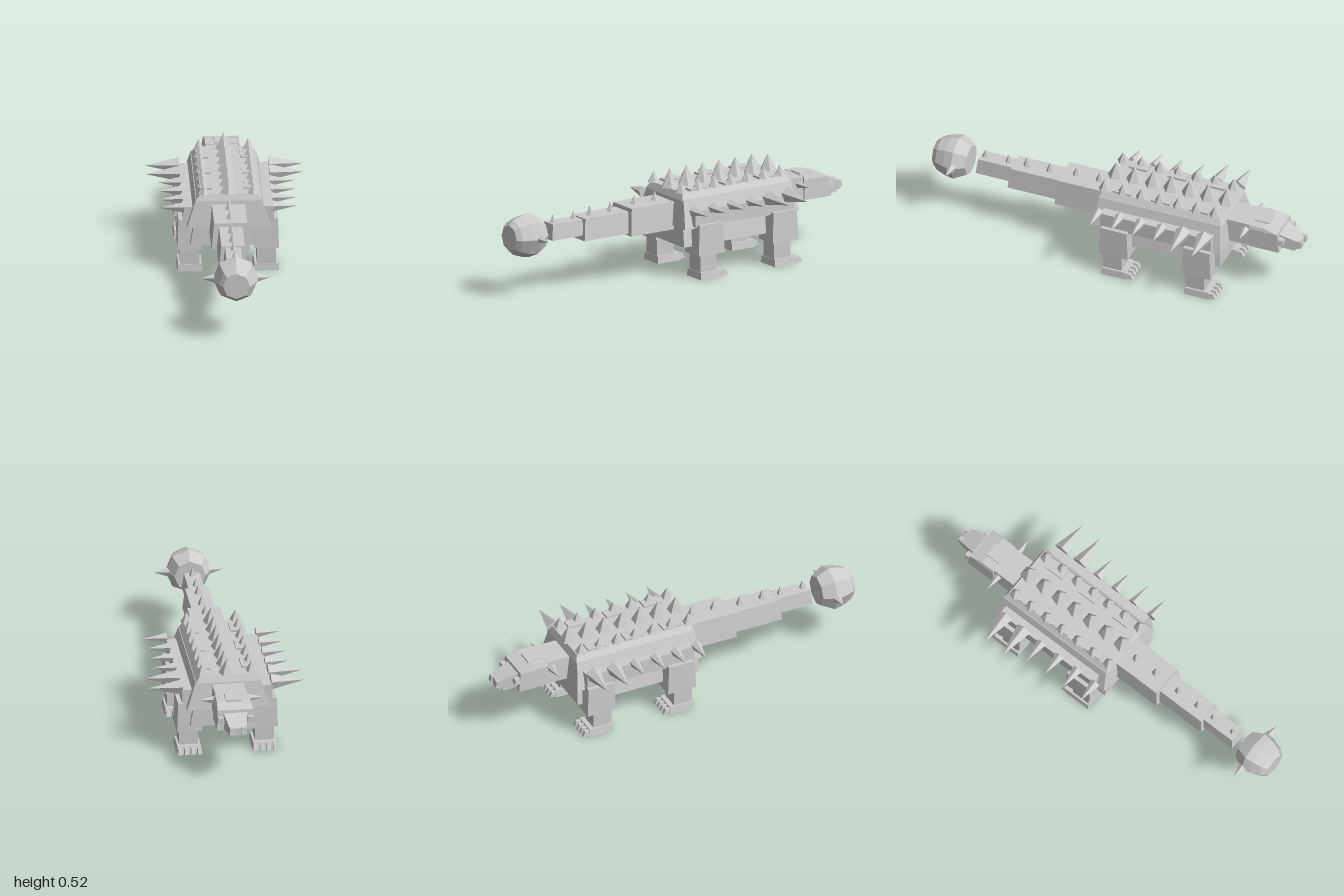
import * as THREE from 'three';

export function createModel() {
  const model = new THREE.Group();
  const hide = new THREE.MeshStandardMaterial({ color: 0xcccccc });
  hide.name = 'stone grey';

  function add(name, geometry) {
    const g = geometry.index ? geometry.toNonIndexed() : geometry;
    g.computeVertexNormals();
    const mesh = new THREE.Mesh(g, hide);
    mesh.name = name;
    model.add(mesh);
    return mesh;
  }

  // Tapered block: x, y and z ranges at the base, with the top drawn in by ix, iz0 and iz1
  function block(name, [x0, x1], [y0, y1], [z0, z1], ix = 0, iz0 = 0, iz1 = iz0) {
    const g = new THREE.BoxGeometry(1, 1, 1);
    const p = g.attributes.position;
    for (let i = 0; i < p.count; i++) {
      const top = p.getY(i) > 0 ? 1 : 0;
      const x = p.getX(i) > 0 ? x1 - top * ix : x0 + top * ix;
      const z = p.getZ(i) > 0 ? z1 - top * iz1 : z0 + top * iz0;
      p.setXYZ(i, x, top ? y1 : y0, z);
    }
    return add(name, g);
  }
  const mirrored = (name, [x0, x1], ...rest) => {
    block(name, [x0, x1], ...rest);
    block(name, [-x1, -x0], ...rest);
  };

  // Five-sided spikes, pointing up or out to both sides
  function spikeUp(name, x, y, z, r, h) {
    add(name, new THREE.ConeGeometry(r, h, 5).translate(x, y + h / 2, z));
  }
  function spikesOut(name, x, y, z, r, h) {
    for (const s of [1, -1]) {
      add(name, new THREE.ConeGeometry(r, h, 5)
        .rotateY(-s * Math.PI / 2).rotateZ(-s * Math.PI / 2)
        .translate(s * (x + h / 2), y, z));
    }
  }

  // Body: belly, sloping shell and back plate
  block('belly', [-0.193, 0.193], [0.165, 0.27], [-0.615, 0.065], 0.018, 0.005);
  block('shell', [-0.21, 0.21], [0.26, 0.405], [-0.625, 0.07], 0.045, 0.02);
  block('backPlate', [-0.165, 0.165], [0.4, 0.435], [-0.61, 0.055], 0.024, 0.015);
  mirrored('flankBoard', [0.15, 0.23], [0.27, 0.355], [-0.58, 0.02]);
  for (const z of [-0.48, -0.27, -0.06]) {
    mirrored('backScute', [0.08, 0.14], [0.43, 0.445], [z - 0.05, z + 0.05]);
  }

  // Back spikes in three rows, and flank spikes
  for (let i = 0; i < 7; i++) {
    const z = 0.025 - i * 0.1;
    spikeUp('backSpike', 0, 0.435, z, 0.045, 0.082);
    for (const x of [-0.125, 0.125]) spikeUp('backSpike', x, 0.435, z + 0.012, 0.032, 0.056);
  }
  [0.03, -0.085, -0.2, -0.315, -0.43, -0.545].forEach((z, i) => {
    const big = i > 3;
    spikesOut('flankSpike', 0.225, 0.358, z, big ? 0.042 : 0.028, big ? 0.175 : 0.122);
  });

  // Legs: thigh, shin, foot and four toes
  for (const z of [0, -0.45]) {
    mirrored('thigh', [0.13, 0.256], [0.125, 0.282], [z - 0.14, z + 0.018], 0.005, 0.008);
    mirrored('shin', [0.145, 0.242], [0.025, 0.13], [z - 0.1, z]);
    mirrored('foot', [0.128, 0.257], [0, 0.037], [z - 0.135, z + 0.006], 0.005, 0.01, 0.004);
    for (let i = 0; i < 4; i++) {
      const x = 0.131 + i * 0.033;
      mirrored('toe', [x, x + 0.024], [0.006, 0.032], [z - 0.163, z - 0.12], 0.003, 0.012, 0);
    }
  }

  // Neck, head and face
  block('neck', [-0.085, 0.085], [0.265, 0.39], [-0.75, -0.6], 0.005);
  block('head', [-0.095, 0.095], [0.27, 0.375], [-0.895, -0.735], 0.004, 0.01, 0);
  block('brow', [-0.091, 0.091], [0.374, 0.392], [-0.885, -0.735], 0.006, 0.075, 0);
  block('crownPlate', [-0.04, 0.04], [0.385, 0.398], [-0.82, -0.742], 0.002);
  mirrored('eyeRidge', [0.058, 0.095], [0.315, 0.345], [-0.915, -0.885], 0.004);
  spikesOut('cheekSpike', 0.08, 0.355, -0.71, 0.022, 0.088);
  const snout = new THREE.BoxGeometry(1, 1, 1);
  const sp = snout.attributes.position;
  for (let i = 0; i < sp.count; i++) {
    const tip = sp.getZ(i) < 0;
    const top = sp.getY(i) > 0;
    sp.setXYZ(i, Math.sign(sp.getX(i)) * (tip ? 0.042 : 0.062),
      top ? (tip ? 0.322 : 0.362) : (tip ? 0.283 : 0.275), tip ? -0.99 : -0.88);
  }
  add('snout', snout);
  block('jaw', [-0.045, 0.045], [0.268, 0.285], [-0.965, -0.88], 0.002);
  mirrored('nostril', [0.014, 0.044], [0.292, 0.326], [-1, -0.975], 0.004, 0.004, 0);

  // Tail segments with ridge spikes
  block('tailBase', [-0.097, 0.097], [0.24, 0.38], [0.04, 0.322], 0.013, 0, 0.012);
  block('tailMiddle', [-0.071, 0.071], [0.25, 0.362], [0.315, 0.588], 0.012, 0, 0.012);
  block('tailEnd', [-0.049, 0.049], [0.275, 0.357], [0.58, 0.77], 0.009, 0, 0.01);
  [[0.115, 0.38, 0.022, 0.047], [0.24, 0.38, 0.022, 0.047], [0.385, 0.36, 0.021, 0.054],
    [0.51, 0.36, 0.021, 0.054], [0.61, 0.356, 0.017, 0.045], [0.735, 0.356, 0.017, 0.045]]
    .forEach(([z, y, r, h]) => spikeUp('tailSpike', 0, y, z, r, h));

  // Eight-sided tail club with a flat end and two spikes
  const profile = [[0, 0.815], [0.08, 0.815], [0.116, 0.88], [0.108, 0.925], [0.09, 0.975], [0.068, 1], [0, 1]]
    .map(([r, z]) => new THREE.Vector2(r, z));
  add('tailClub', new THREE.LatheGeometry(profile, 8).rotateX(Math.PI / 2).translate(0, 0.313, 0));
  spikesOut('clubSpike', 0.095, 0.313, 0.88, 0.028, 0.08);

  return model;
}
